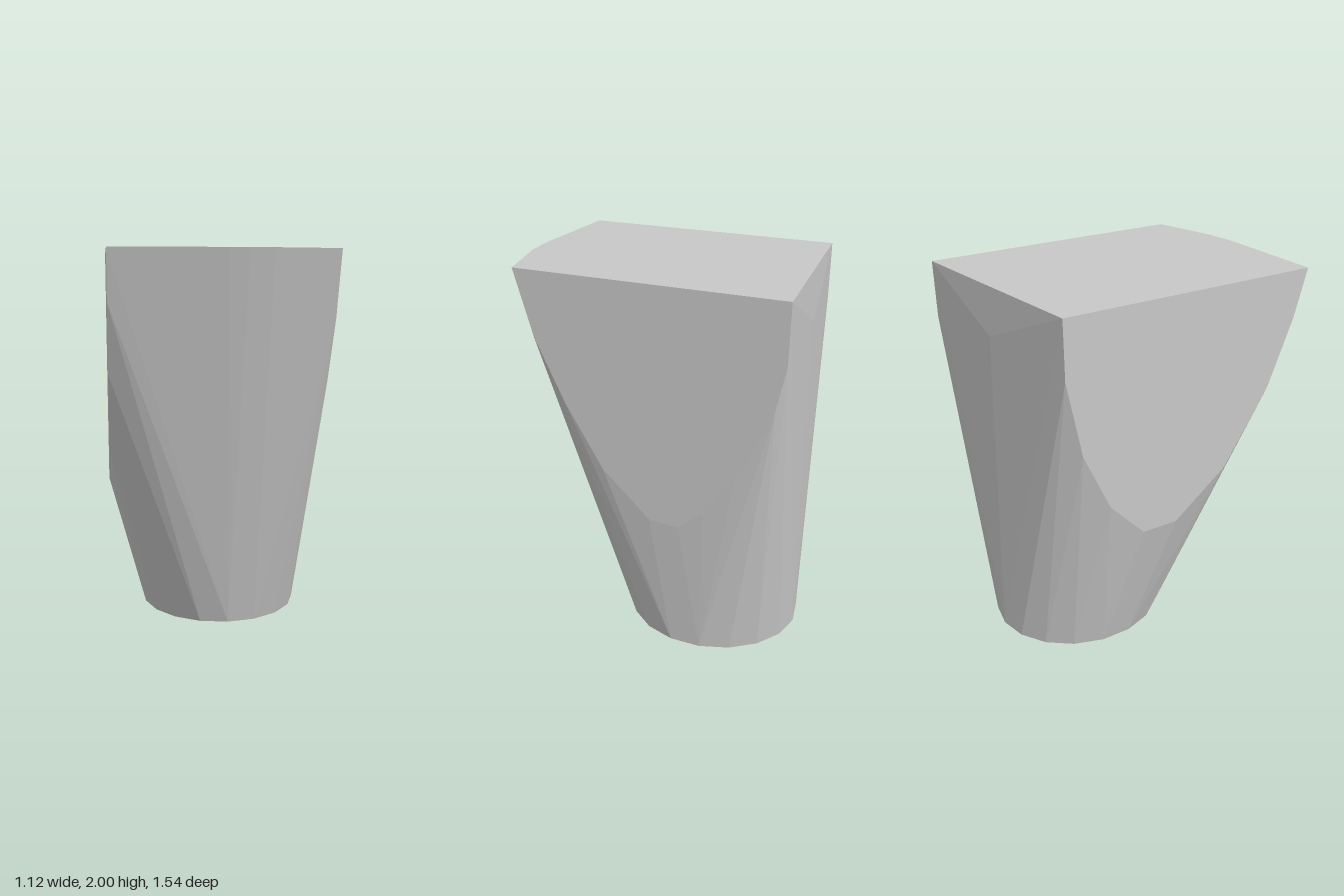
import * as THREE from 'three';
import { ConvexGeometry } from 'three/addons/geometries/ConvexGeometry.js';

const HALF_WIDTH = 0.56;

// Rounded lower boundaries of the two flat sides, as [y, z] from front to back
const LEFT_SIDE = [
  [2, 0.65], [1.66, 0.55], [1.33, 0.39], [1.0, 0.19], [0.76, -0.07], [0.75, -0.23],
  [0.865, -0.37], [1.08, -0.53], [1.475, -0.72], [1.7, -0.768], [2, -0.775],
];
const RIGHT_SIDE = [
  [2, 0.77], [1.75, 0.70], [1.4, 0.56], [1.0, 0.3], [0.77, 0], [0.77, -0.2],
  [0.98, -0.4], [1.3, -0.55], [1.7, -0.635], [2, -0.64],
];

export function createModel() {
  const group = new THREE.Group();
  group.name = 'taperedBlock';
  const grey = new THREE.MeshStandardMaterial({ color: 0xc8c8c8 });
  grey.name = 'plain grey';

  const points = [];
  const add = (x, y, z) => points.push(new THREE.Vector3(x, y, z));

  // Oval foot
  const sides = 18;
  for (let i = 0; i < sides; i++) {
    const a = (i / sides) * Math.PI * 2;
    add(0.07 + 0.437 * Math.sin(a), 0, -0.245 + 0.477 * Math.cos(a));
  }

  // Flat sides
  for (const [y, z] of LEFT_SIDE) add(HALF_WIDTH, y, z);
  for (const [y, z] of RIGHT_SIDE) add(-HALF_WIDTH, y, z);

  // Bowed front edge of the top, and the slight swell of the back
  add(0, 2, 0.768);
  add(0.1, 2, 0.762);
  add(0.22, 2, 0.745);
  add(0.02, 1.75, -0.724);

  // Faceted hull tapering from the squared top to the oval foot
  const body = new THREE.Mesh(new ConvexGeometry(points), grey);
  body.name = 'taperedBody';
  group.add(body);
  return group;
}
